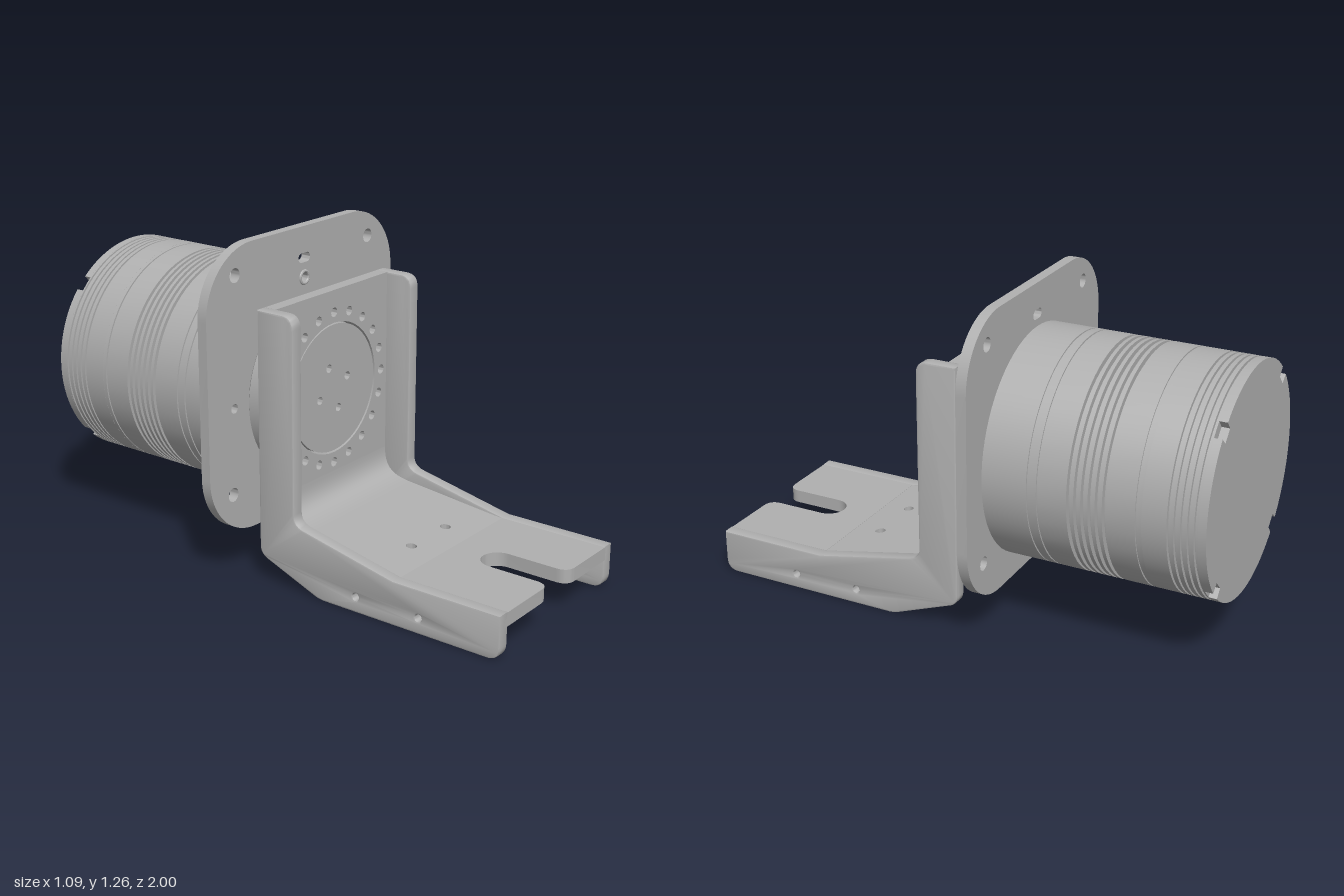
import * as THREE from 'three';
import { toCreasedNormals } from 'three/addons/utils/BufferGeometryUtils.js';

const AXIS_Y = 0.66;   // height of the motor axis
const MOTOR_R = 0.435;

export function createModel() {
  const root = new THREE.Group();
  root.name = 'motorOnBracket';
  const metal = new THREE.MeshStandardMaterial({ color: 0xb0b0b0 });
  metal.name = 'grey metal';

  const add = (name, geo) => {
    const mesh = new THREE.Mesh(toCreasedNormals(geo, 0.6), metal);
    mesh.name = name;
    root.add(mesh);
    return mesh;
  };
  const hole = (shape, x, y, r) => {
    shape.holes.push(new THREE.Path().absarc(x, y, r, 0, Math.PI * 2, true));
  };
  const extrude = (shape, depth, segs = 12) =>
    new THREE.ExtrudeGeometry(shape, { depth, bevelEnabled: false, curveSegments: segs });
  const polygon = (pts) => new THREE.Shape(pts.map(([x, y]) => new THREE.Vector2(x, y)));
  // Turned part about the motor axis, profile [radius, z] with z increasing
  const turned = (name, pts) => {
    const geo = new THREE.LatheGeometry(pts.map(([r, z]) => new THREE.Vector2(r, z)), 72);
    geo.rotateX(Math.PI / 2).translate(0, AXIS_Y, 0);
    return add(name, geo);
  };

  // Bracket cheeks, drawn in the z-y plane
  for (const side of [-1, 1]) {
    const s = new THREE.Shape();
    s.moveTo(1, 0.168);
    s.lineTo(0.56, 0.168);
    s.lineTo(0.16, 0.252);
    s.quadraticCurveTo(0.12, 0.262, 0.12, 0.3);
    s.lineTo(0.12, 0.99);
    s.quadraticCurveTo(0.12, 1.04, 0.07, 1.04);
    s.lineTo(-0.04, 1.04);
    s.lineTo(-0.04, 0.14);
    s.quadraticCurveTo(-0.04, 0.11, -0.01, 0.095);
    s.lineTo(0.21, 0.01);
    s.quadraticCurveTo(0.235, 0, 0.26, 0);
    s.lineTo(0.95, 0);
    s.quadraticCurveTo(1, 0, 1, 0.05);
    s.closePath();
    hole(s, 0.67, 0.06, 0.014);
    hole(s, 0.4, 0.06, 0.014);
    const geo = new THREE.ExtrudeGeometry(s, {
      depth: 0.038, bevelEnabled: true, bevelThickness: 0.007,
      bevelSize: 0.007, bevelOffset: -0.007, bevelSegments: 2, curveSegments: 8,
    });
    geo.rotateY(-Math.PI / 2).translate(side * 0.355 + 0.019, 0, 0);
    add(side > 0 ? 'leftCheek' : 'rightCheek', geo);
  }

  // Upright web with the hub opening and a ring of bolt holes
  const web = polygon([[-0.335, 0.33], [0.335, 0.33], [0.335, 1.04], [-0.335, 1.04]]);
  hole(web, 0, AXIS_Y, 0.255);
  for (let i = 0; i < 20; i++) {
    const a = (i * Math.PI) / 10;
    hole(web, 0.295 * Math.cos(a), AXIS_Y + 0.295 * Math.sin(a), 0.018);
  }
  add('uprightWeb', extrude(web, 0.05, 24).translate(0, 0, -0.04));

  // Curved bend from the upright web to the foot
  const bend = new THREE.Shape();
  bend.moveTo(0.01, 0.33);
  bend.lineTo(-0.04, 0.33);
  bend.bezierCurveTo(-0.04, 0.2, 0, 0.17, 0.13, 0.157);
  bend.lineTo(0.13, 0.21);
  bend.bezierCurveTo(0.04, 0.22, 0.01, 0.25, 0.01, 0.33);
  const bendGeo = extrude(bend, 0.67);
  bendGeo.rotateY(-Math.PI / 2).translate(0.335, 0, 0);
  add('bend', bendGeo);

  // Sloping part of the foot with two holes
  const slope = polygon([[-0.335, 0.13], [0.335, 0.13], [0.335, 0.56], [-0.335, 0.56]]);
  hole(slope, -0.11, 0.45, 0.02);
  hole(slope, 0.11, 0.45, 0.02);
  const slopeGeo = extrude(slope, 0.053);
  slopeGeo.rotateX(Math.PI / 2).translate(0, 0.165, 0);
  const p = slopeGeo.attributes.position;
  for (let i = 0; i < p.count; i++) p.setY(i, p.getY(i) + (0.56 - p.getZ(i)) * 0.105);
  add('footSlope', slopeGeo);

  // Flat foot with an open slot
  const foot = new THREE.Shape();
  foot.moveTo(-0.35, 0.56);
  foot.lineTo(0.35, 0.56);
  foot.lineTo(0.35, 1);
  foot.lineTo(0.115, 1);
  foot.quadraticCurveTo(0.066, 1, 0.066, 0.95);
  foot.lineTo(0.066, 0.755);
  foot.absarc(0, 0.755, 0.066, 0, -Math.PI, true);
  foot.lineTo(-0.066, 0.95);
  foot.quadraticCurveTo(-0.066, 1, -0.115, 1);
  foot.lineTo(-0.35, 1);
  foot.closePath();
  const footGeo = extrude(foot, 0.053);
  footGeo.rotateX(Math.PI / 2).translate(0, 0.166, 0);
  add('foot', footGeo);

  // Output flange behind the web and the hub face in its opening
  turned('outputFlange', [[0, -0.135], [0.31, -0.135], [0.31, -0.122], [0.335, -0.122],
    [0.348, -0.11], [0.348, -0.04], [0, -0.04]]);
  const hub = new THREE.Shape().absarc(0, 0, 0.248, 0, Math.PI * 2);
  for (let i = 0; i < 4; i++) {
    const a = 0.33 + (i * Math.PI) / 2;
    hole(hub, 0.088 * Math.cos(a), 0.088 * Math.sin(a), 0.016);
  }
  add('hubFace', extrude(hub, 0.05, 32).translate(0, AXIS_Y, -0.042));

  // Rounded mounting plate
  const plate = new THREE.Shape();
  const [w, lo, hi, r] = [0.545, 0.17, 1.26, 0.25];
  plate.absarc(w - r, lo + r, r, -Math.PI / 2, 0);
  plate.absarc(w - r, hi - r, r, 0, Math.PI / 2);
  plate.absarc(-w + r, hi - r, r, Math.PI / 2, Math.PI);
  plate.absarc(-w + r, lo + r, r, Math.PI, Math.PI * 1.5);
  plate.closePath();
  for (const s of [-1, 1]) {
    hole(plate, s * 0.39, 1.152, 0.027);
    hole(plate, s * 0.42, 0.33, 0.027);
    hole(plate, s * 0.405, AXIS_Y, 0.018);
  }
  hole(plate, 0, 1.066, 0.018);
  const slot = new THREE.Path();
  slot.absarc(-0.016, 1.141, 0.018, -Math.PI / 2, Math.PI / 2, true);
  slot.absarc(0.016, 1.141, 0.018, Math.PI / 2, -Math.PI / 2, true);
  slot.closePath();
  plate.holes.push(slot);
  add('mountingPlate', extrude(plate, 0.04).translate(0, 0, -0.17));
  const collar = new THREE.TorusGeometry(0.024, 0.006, 8, 24);
  add('screwCollar', collar.translate(0, 1.066, -0.13));

  // Motor housing, cut by grooves [centre z, width, depth]
  const grooved = (name, z0, z1, grooves) => {
    const pts = [[0, z0], [MOTOR_R, z0]];
    for (const [z, width, depth] of grooves) {
      const a = z - width / 2, b = z + width / 2;
      pts.push([MOTOR_R, a], [MOTOR_R - depth, a], [MOTOR_R - depth, b], [MOTOR_R, b]);
    }
    pts.push([MOTOR_R, z1], [0, z1]);
    turned(name, pts);
  };
  const fins = [];
  for (let i = 0; i < 6; i++) fins.push([-0.633 + i * 0.0265, 0.013, 0.022]);
  grooved('motorHousing', -0.77, -0.168,
    [[-0.75, 0.006, 0.006], ...fins, [-0.383, 0.006, 0.006], [-0.345, 0.006, 0.006]]);
  const rearFins = [];
  for (let i = 0; i < 5; i++) rearFins.push([-0.96 + i * 0.024, 0.008, 0.014]);
  grooved('rearFins', -0.97, -0.86, rearFins);

  // Disc with notches cut into its rim
  const notchedDisc = (name, z0, z1, angles, half, depth) => {
    const s = new THREE.Shape();
    angles.forEach((a, i) => {
      const next = i + 1 < angles.length ? angles[i + 1] : angles[0] + Math.PI * 2;
      const inner = MOTOR_R - depth;
      s.lineTo(inner * Math.cos(a - half), inner * Math.sin(a - half));
      s.lineTo(inner * Math.cos(a + half), inner * Math.sin(a + half));
      s.absarc(0, 0, MOTOR_R, a + half, next - half);
    });
    s.curves.shift();
    s.closePath();
    add(name, extrude(s, z1 - z0, Math.ceil(72 / angles.length)).translate(0, AXIS_Y, z0));
  };
  const quarter = Math.PI / 2;
  notchedDisc('rearCap', -1, -0.97, [0.5, 1.5, 2.5, 3.5].map((k) => k * quarter), 0.07, 0.04);
  notchedDisc('cableBand', -0.86, -0.77, [-1.18], 0.12, 0.04);

  // Cable connector sitting in the band's notch
  const plug = new THREE.BoxGeometry(0.025, 0.06, 0.06);
  plug.translate(0.405, 0, 0).rotateZ(-1.18).translate(0, AXIS_Y, -0.815);
  add('cableConnector', plug);

  return root;
}
